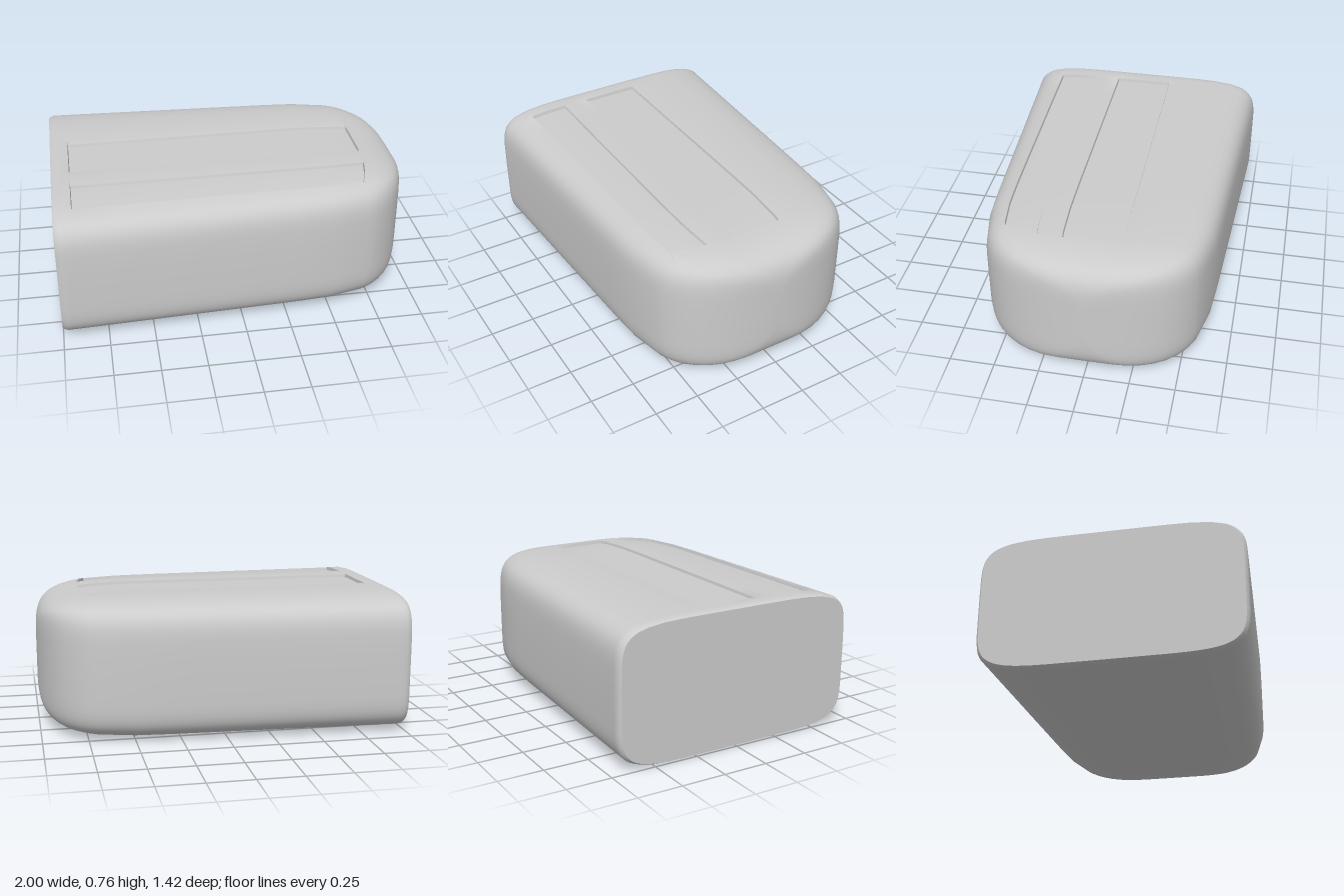
import * as THREE from 'three';
import { toCreasedNormals } from 'three/addons/utils/BufferGeometryUtils.js';

const H = 0.382; // half height
const root6 = (v) => Math.pow(Math.max(0, 1 - Math.pow(Math.abs(v), 6)), 1 / 6);
const lerp = THREE.MathUtils.lerp;

// Half width and half height of the section at x (blunt rounded nose at +x)
function section(x) {
  const q = x > 0 ? root6(x) : 1;
  const end = x < -0.97 ? 1 - 0.025 * Math.pow((-0.97 - x) / 0.03, 2) : 1;
  return { w: (0.66 - 0.05 * x) * q ** 3 * end, h: H * q * end };
}

// Points across the top: [fraction of half width, slot depth, belongs to slanted slot end]
function topRow(x) {
  const t = THREE.MathUtils.clamp((x + 0.9) / 1.65, 0, 1), e = 0.006;
  const a = lerp(-0.229, -0.268, t), b = lerp(0.236, 0.268, t);
  const c = lerp(0.443, 0.5, t), d = lerp(0.757, 0.806, t);
  return [
    [-0.78, 0], [-0.65, 0], [-0.5, 0], [a - 0.07, 0],
    [a, 0.25], [a + e, 1], [0, 1], [b - e, 1], [b, 0.15],
    [(b + c) / 2, 0],
    [c, 0.25], [c + e, 1, 0.2], [(c + d) / 2, 1, 0.5], [d - e, 1, 1], [d, 0.1, 1],
  ];
}

function bodyGeometry() {
  // Lengthwise stations: [x, whether the slots are open here]
  const stations = [[-1, 0], [-0.99, 0], [-0.97, 0], [-0.94, 0], [-0.9, 0], [-0.896, 1]];
  for (let x = -0.7; x < 0.65; x += 0.2) stations.push([x, 1]);
  stations.push([0.7, 1], [0.746, 1], [0.75, 0], [0.78, 0]);
  for (const q of [0.945, 0.92, 0.89, 0.86, 0.82, 0.77, 0.71, 0.63, 0.53, 0.4, 0.2, 0]) {
    stations.push([root6(q), 0]);
  }

  const pos = [], idx = [], N = 56;
  const a0 = Math.acos(0.86 ** 3);
  for (const [x, open] of stations) {
    // Sides and underside
    const { w, h } = section(x);
    for (let k = 0; k <= N; k++) {
      const a = a0 - (k / N) * (Math.PI + 2 * a0);
      const c = Math.cos(a), s = Math.sin(a);
      pos.push(x, H + h * Math.cbrt(s), w * Math.cbrt(c));
    }
    // Top with the two sunken slots
    for (const [f, depth, slant = 0] of topRow(x)) {
      const xs = x - 0.06 * slant * Math.max(0, 1 - Math.abs(x - 0.75) / 0.15);
      const s = section(xs);
      pos.push(xs, H + s.h * root6(f) - 0.018 * depth * open, s.w * f);
    }
  }
  const n = pos.length / 3 / stations.length;
  for (let i = 0; i < stations.length - 1; i++) {
    for (let j = 0; j < n; j++) {
      const a = i * n + j, b = i * n + ((j + 1) % n);
      idx.push(a, b, b + n, a, b + n, a + n);
    }
  }
  // Flat end
  const centre = pos.length / 3;
  pos.push(-1, H, 0);
  for (let j = 0; j < n; j++) idx.push(centre, (j + 1) % n, j);

  const g = new THREE.BufferGeometry();
  g.setAttribute('position', new THREE.Float32BufferAttribute(pos, 3));
  g.setIndex(idx);
  return toCreasedNormals(g, 0.6);
}

export function createModel() {
  const group = new THREE.Group();
  const material = new THREE.MeshStandardMaterial({ color: 0xcccccc });
  const body = new THREE.Mesh(bodyGeometry(), material);
  body.name = 'slottedBody';
  group.add(body);
  return group;
}
